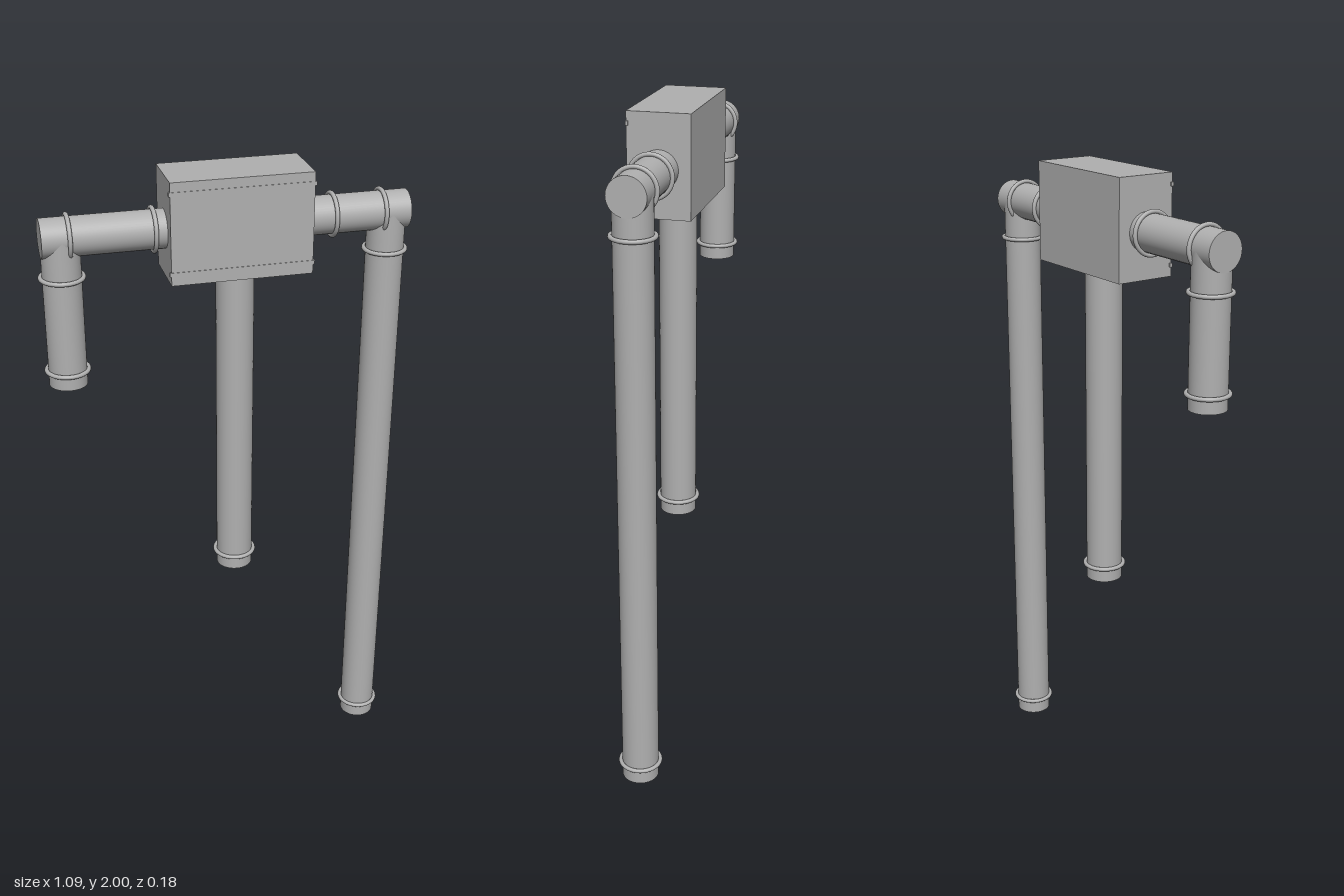
import * as THREE from 'three';

export function createModel() {
  const model = new THREE.Group();
  model.name = 'pipeManifold';
  const grey = new THREE.MeshStandardMaterial({ color: 0xb0b0b0 });
  grey.name = 'pipe grey';

  const R = 0.056;      // pipe radius
  const Z = -0.003;     // pipe centre line
  const AXIS_Y = 1.843; // height of the cross pipe

  function add(name, geometry, x, y, z, parent = model) {
    const mesh = new THREE.Mesh(geometry, grey);
    mesh.name = name;
    mesh.position.set(x, y, z);
    parent.add(mesh);
    return mesh;
  }

  // Raised band around a pipe
  function ring(parent, x, y, horizontal) {
    const mesh = add('ring', new THREE.TorusGeometry(0.061, 0.0065, 12, 48), x, y, Z, parent);
    if (horizontal) mesh.rotation.y = Math.PI / 2;
    else mesh.rotation.x = Math.PI / 2;
  }

  // Central box with two slim rails near the front edges
  add('box', new THREE.BoxGeometry(0.411, 0.295, 0.183), 0.02, 1.8525, -0.003);
  for (const y of [1.967, 1.738]) {
    add('boxRail', new THREE.BoxGeometry(0.42, 0.012, 0.008), 0.02, y, 0.086);
  }

  // Cross pipe through the box
  const cross = new THREE.Group();
  cross.name = 'crossPipe';
  model.add(cross);
  const tube = add('tube', new THREE.CylinderGeometry(R, R, 1.066, 48), -0.002, AXIS_Y, Z, cross);
  tube.rotation.z = Math.PI / 2;
  for (const x of [-0.457, -0.218, 0.305, 0.453]) ring(cross, x, AXIS_Y, true);

  // Hanging pipes: name, x, bottom, ring heights
  const drops = [
    ['rightShortPipe', -0.479, 1.4, [1.727, 1.445]],
    ['middlePipe', 0.02, 0.704, [0.75]],
    ['leftLongPipe', 0.474, 0, [1.727, 0.05]],
  ];
  for (const [name, x, bottom, rings] of drops) {
    const group = new THREE.Group();
    group.name = name;
    model.add(group);
    const h = AXIS_Y - bottom;
    add('tube', new THREE.CylinderGeometry(R, R, h, 48), x, bottom + h / 2, Z, group);
    for (const y of rings) ring(group, x, y, false);
  }
  return model;
}
